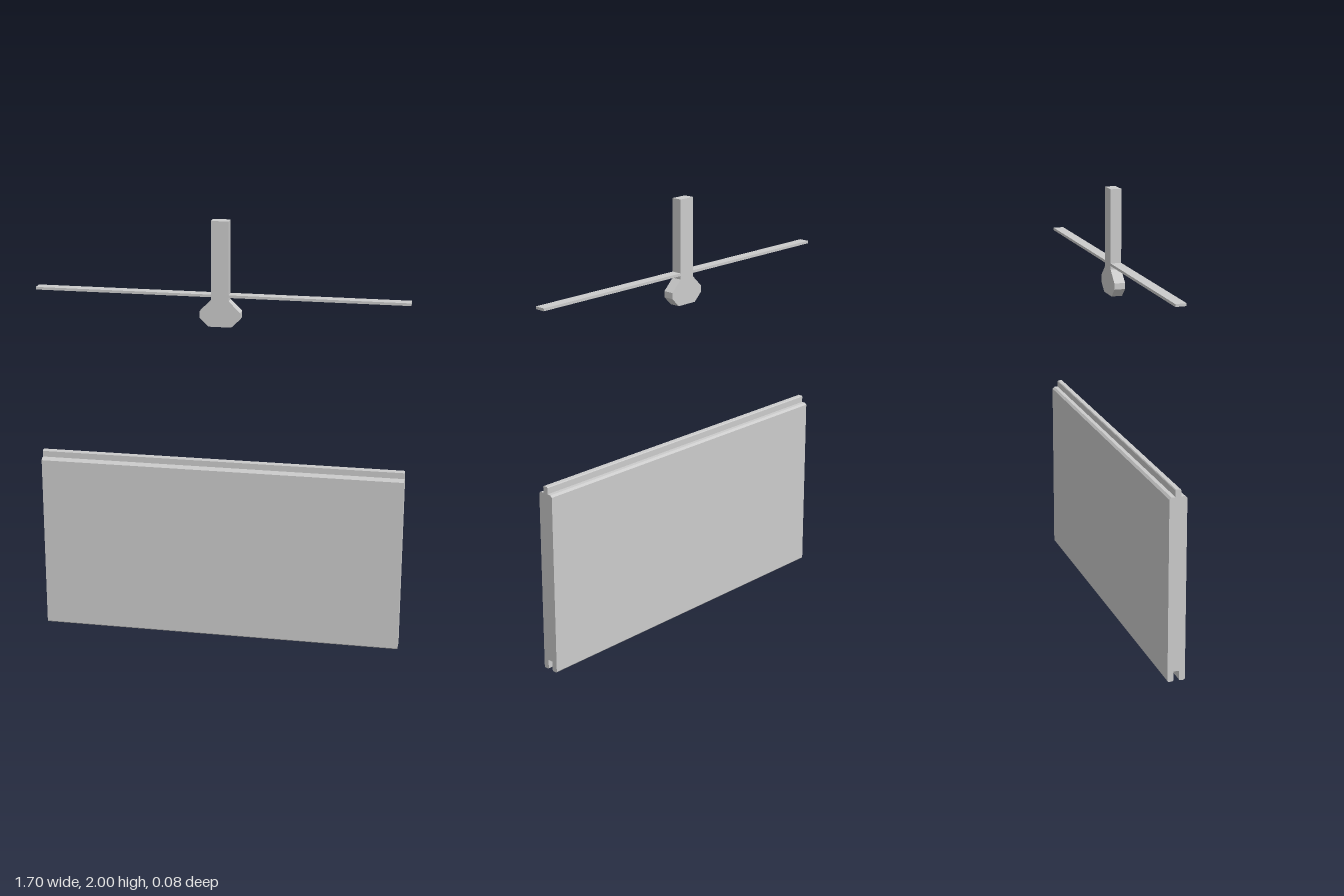
import * as THREE from 'three';

const material = new THREE.MeshStandardMaterial({ color: 0xcccccc, flatShading: true });

// Extrudes a half outline mirrored across its vertical axis, centred in depth
function mirroredExtrusion(name, half, depth) {
  const other = half.map(([u, y]) => [-u, y]).reverse();
  const outline = [...half, ...other].map(([u, y]) => new THREE.Vector2(u, y));
  const geometry = new THREE.ExtrudeGeometry(new THREE.Shape(outline), { depth, bevelEnabled: false });
  geometry.translate(0, 0, -depth / 2);
  const mesh = new THREE.Mesh(geometry, material);
  mesh.name = name;
  return mesh;
}

export function createModel() {
  const model = new THREE.Group();
  model.name = 'tongueAndGroovePanelSet';
  const width = 1.7;

  // Panel: groove along the bottom, chamfered shoulders and a tongue on top
  const panel = mirroredExtrusion('panel', [
    [0.013, 0.046], [0.013, 0.004], [0.017, 0], [0.036, 0], [0.04, 0.005],
    [0.04, 0.836], [0.031, 0.845], [0.013, 0.845], [0.013, 0.873], [0.01, 0.877],
  ], width);
  panel.rotation.y = Math.PI / 2;
  model.add(panel);

  // Upright post flaring into a faceted foot
  model.add(mirroredExtrusion('post', [
    [0.052, 1.52], [0.093, 1.56], [0.093, 1.588], [0.04, 1.64], [0.04, 2],
  ], 0.05));

  // Thin strip crossing the post
  const strip = new THREE.Mesh(new THREE.BoxGeometry(width, 0.012, 0.049), material);
  strip.name = 'crossStrip';
  strip.position.y = 1.662;
  model.add(strip);

  return model;
}
